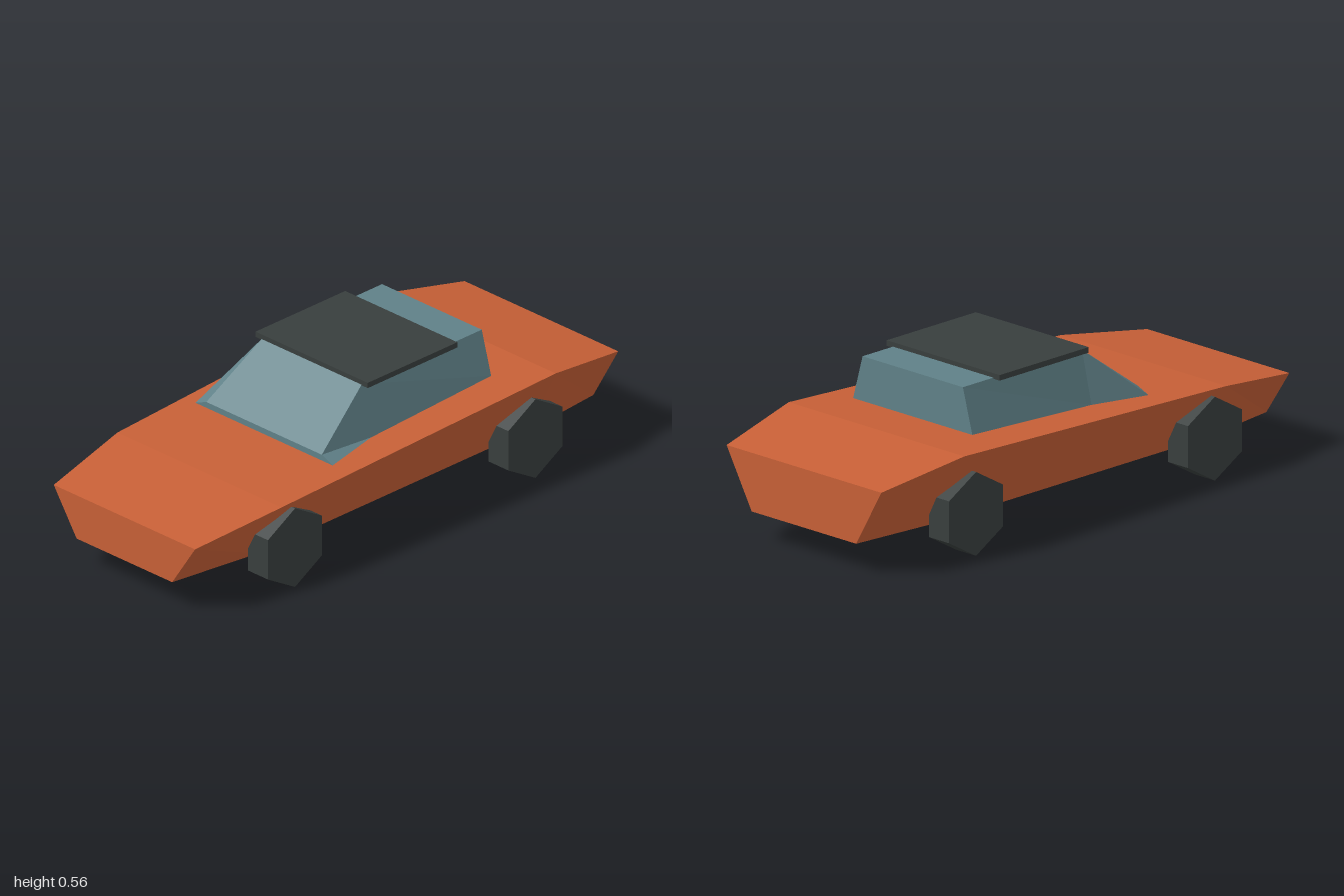
import * as THREE from 'three';

// Colours
function flatColour(name, color) {
  const m = new THREE.MeshStandardMaterial({ color });
  m.name = name;
  m.flatShading = true;
  return m;
}

// Skin trapezoid sections running front to back.
// Each section: [z, bottomHalfWidth, bottomY, topHalfWidth, topY]
function loft(sections) {
  const pos = [], index = [];
  for (const [z, bw, by, tw, ty] of sections) {
    pos.push(-bw, by, z, bw, by, z, tw, ty, z, -tw, ty, z);
  }
  for (let s = 0; s < sections.length - 1; s++) {
    const a = s * 4, b = a + 4;
    for (let j = 0; j < 4; j++) {
      const k = (j + 1) % 4;
      index.push(a + j, b + j, a + k, a + k, b + j, b + k);
    }
  }
  const e = (sections.length - 1) * 4;
  index.push(0, 1, 2, 0, 2, 3, e, e + 2, e + 1, e, e + 3, e + 2);
  const indexed = new THREE.BufferGeometry();
  indexed.setAttribute('position', new THREE.Float32BufferAttribute(pos, 3));
  indexed.setIndex(index);
  const geo = indexed.toNonIndexed();
  geo.computeVertexNormals();
  return geo;
}

export function createModel() {
  const car = new THREE.Group();
  car.name = 'car';
  const paint = flatColour('orange paint', 0xc65f36);
  const glass = flatColour('blue grey glass', 0x5f8087);
  const dark = flatColour('dark grey', 0x383e3d);

  const add = (name, geometry, material, x = 0, y = 0, z = 0) => {
    const mesh = new THREE.Mesh(geometry, material);
    mesh.name = name;
    mesh.position.set(x, y, z);
    car.add(mesh);
    return mesh;
  };

  // Wedge-shaped body, wider at the shoulders than at the floor
  add('body', loft([
    [1, 0.23, 0.11, 0.34, 0.275],
    [0.64, 0.283, 0.11, 0.395, 0.325],
    [-0.65, 0.283, 0.11, 0.42, 0.38],
    [-1, 0.25, 0.11, 0.37, 0.32],
  ]), paint);

  // Glass cabin, with a low flared lip at the windscreen foot
  add('cabin', loft([
    [0.33, 0.33, 0.35, 0.278, 0.372],
    [0.1, 0.285, 0.358, 0.24, 0.545],
    [-0.475, 0.285, 0.385, 0.24, 0.545],
  ]), glass);

  // Thin overhanging roof panel
  add('roof', new THREE.BoxGeometry(0.54, 0.02, 0.43), dark, 0, 0.551, -0.113);

  // Hexagonal wheels standing on a point
  const wheelGeo = new THREE.CylinderGeometry(0.15, 0.15, 0.096, 6);
  wheelGeo.rotateY(Math.PI / 2).rotateZ(Math.PI / 2);
  // Put corners at the top and bottom
  wheelGeo.computeBoundingBox();
  const box = wheelGeo.boundingBox;
  if (box.max.y < 0.149) wheelGeo.rotateX(Math.PI / 6);
  for (const [end, z] of [['front', 0.58], ['rear', -0.573]]) {
    for (const [side, x] of [['Left', 0.352], ['Right', -0.352]]) {
      add(`${end}${side}Wheel`, wheelGeo, dark, x, 0.152, z);
    }
  }
  return car;
}
